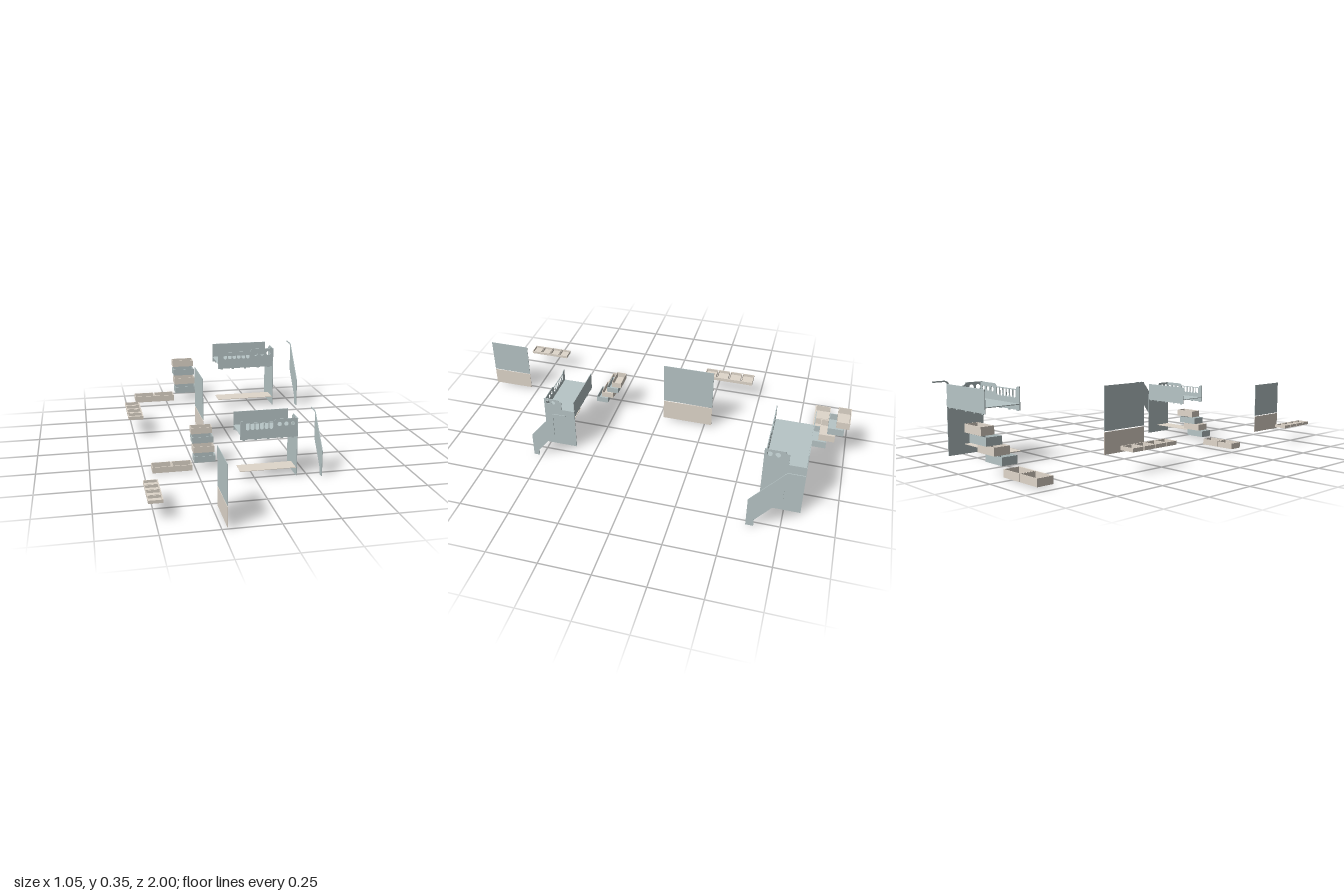
import * as THREE from 'three';

const T = 0.004; // board thickness
const blue = new THREE.MeshStandardMaterial({ color: 0xb7c5c6 });
const beige = new THREE.MeshStandardMaterial({ color: 0xe0d7cb });

// Box given by its minimum and maximum on each axis
function box(name, mat, [x0, x1], [y0, y1], [z0, z1]) {
  const mesh = new THREE.Mesh(new THREE.BoxGeometry(x1 - x0, y1 - y0, z1 - z0), mat);
  mesh.position.set((x0 + x1) / 2, (y0 + y1) / 2, (z0 + z1) / 2);
  mesh.name = name;
  return mesh;
}

// Flat board cut from a shape
function board(name, mat, shape) {
  const geo = new THREE.ExtrudeGeometry(shape, { depth: T, bevelEnabled: false, curveSegments: 10 });
  const mesh = new THREE.Mesh(geo, mat);
  mesh.name = name;
  return mesh;
}

// Board standing across the x axis; its shape is drawn in (-z, y)
function sideBoard(name, mat, shape, x) {
  const mesh = board(name, mat, shape);
  mesh.rotation.y = Math.PI / 2;
  mesh.position.x = x;
  return mesh;
}

function circleHole(x, y, r) {
  return new THREE.Path().absarc(x, y, r, 0, Math.PI * 2, true);
}

// Open-topped drawer: a floor and four walls
function tray(name, mat, [x0, x1], [y0, y1], [z0, z1]) {
  const g = new THREE.Group();
  g.name = name;
  const w = 0.003;
  g.add(
    box('floor', mat, [x0, x1], [y0, y0 + w], [z0, z1]),
    box('frontWall', mat, [x0, x1], [y0 + w, y1], [z1 - w, z1]),
    box('backWall', mat, [x0, x1], [y0 + w, y1], [z0, z0 + w]),
    box('leftWall', mat, [x1 - w, x1], [y0 + w, y1], [z0 + w, z1 - w]),
    box('rightWall', mat, [x0, x0 + w], [y0 + w, y1], [z0 + w, z1 - w]),
  );
  return g;
}

// Front guard: dipped rail with round-bottomed slots and three round holes
function frontGuard() {
  const s = new THREE.Shape();
  s.moveTo(0.045, 0.241);
  s.lineTo(0.382, 0.241);
  s.lineTo(0.382, 0.353);
  s.lineTo(0.256, 0.353);
  s.quadraticCurveTo(0.246, 0.352, 0.241, 0.339);
  s.lineTo(0.073, 0.339);
  s.quadraticCurveTo(0.068, 0.352, 0.058, 0.353);
  s.lineTo(0.045, 0.353);
  s.closePath();
  const r = 0.0113;
  for (let i = 0; i < 6; i++) {
    const x = 0.0885 + i * 0.0276;
    const slot = new THREE.Path();
    slot.moveTo(x - r, 0.335);
    slot.lineTo(x + r, 0.335);
    slot.lineTo(x + r, 0.297 + r);
    slot.absarc(x, 0.297 + r, r, 0, Math.PI, true);
    slot.closePath();
    s.holes.push(slot);
  }
  for (const x of [0.276, 0.315, 0.354]) s.holes.push(circleHole(x, 0.323, 0.0128));
  const mesh = board('frontGuard', blue, s);
  mesh.position.z = -0.641;
  return mesh;
}

// End board: full-height leg with a lower rear half and two holes
function endBoard() {
  const s = new THREE.Shape();
  s.moveTo(0.63, 0);
  s.lineTo(0.83, 0);
  s.lineTo(0.83, 0.281);
  s.lineTo(0.746, 0.281);
  s.lineTo(0.746, 0.333);
  s.quadraticCurveTo(0.744, 0.339, 0.735, 0.34);
  s.quadraticCurveTo(0.727, 0.342, 0.725, 0.353);
  s.lineTo(0.63, 0.353);
  s.closePath();
  s.holes.push(circleHole(0.655, 0.328, 0.013), circleHole(0.692, 0.328, 0.013));
  return sideBoard('endBoard', blue, s, 0.379);
}

// Sloping stair rail with a thin hooked top
function stairRail() {
  const s = new THREE.Shape();
  s.moveTo(0.591, 0);
  s.lineTo(0.628, 0);
  s.lineTo(0.628, 0.04);
  s.lineTo(0.746, 0.19);
  s.lineTo(0.746, 0.332);
  s.quadraticCurveTo(0.748, 0.346, 0.762, 0.347);
  s.lineTo(0.828, 0.347);
  s.lineTo(0.828, 0.354);
  s.lineTo(0.762, 0.354);
  s.quadraticCurveTo(0.75, 0.353, 0.742, 0.345);
  s.lineTo(0.591, 0.158);
  s.closePath();
  return sideBoard('stairRail', blue, s, 0.521);
}

function bedSet(name) {
  const g = new THREE.Group();
  g.name = name;

  // Raised bed, its deck set above the lower edge of the guards
  g.add(frontGuard(), endBoard(), stairRail());
  g.add(box('backGuard', blue, [0.045, 0.379], [0.241, 0.353], [-0.83, -0.826]));
  g.add(box('bedDeck', blue, [0.045, 0.379], [0.268, 0.272], [-0.826, -0.641]));
  for (const x of [0.066, 0.135, 0.21, 0.29, 0.355])
    for (const z of [-0.83, -0.641])
      g.add(box('guardTab', blue, [x - 0.007, x + 0.007], [0.236, 0.241], [z, z + T]));

  // Low shelf
  g.add(box('shelf', beige, [0.045, 0.379], [0.047, 0.05], [-0.74, -0.635]));

  // Wall board in two colours
  g.add(box('wallBoardLower', beige, [-0.153, -0.15], [0.01, 0.121], [-0.289, -0.023]));
  g.add(box('wallBoardUpper', blue, [-0.153, -0.15], [0.126, 0.347], [-0.289, -0.023]));

  // Stair of drawers, climbing toward the back
  for (let i = 0; i < 4; i++) {
    const y = 0.051 + i * 0.047;
    const z = -0.821 - i * 0.038;
    const depth = i === 3 ? 0.065 : 0.08;
    g.add(tray('stairDrawer', i % 2 ? beige : blue, [-0.192, -0.064], [y, y + 0.038], [z - depth, z]));
  }

  // Pair of floor drawers behind one shared front
  for (const x of [-0.442, -0.321])
    g.add(tray('floorDrawer', beige, [x, x + 0.117], [0.005, 0.041], [-0.902, -0.823]));
  g.add(box('floorDrawerFront', beige, [-0.442, -0.204], [0.005, 0.041], [-0.823, -0.82]));

  // Row of shallow trays behind one shared front
  for (let i = 0; i < 4; i++) {
    const z = -0.456 + i * 0.0695;
    g.add(tray('shallowTray', beige, [-0.528, -0.452], [0.099, 0.117], [z, z + 0.0645]));
  }
  g.add(box('shallowTrayFront', beige, [-0.452, -0.449], [0.099, 0.117], [-0.456, -0.183]));
  return g;
}

export function createModel() {
  const model = new THREE.Group();
  model.name = 'loftBedParts';
  const large = bedSet('largeSet');
  const small = bedSet('smallSet');
  small.scale.setScalar(0.8);
  small.position.set(-0.106, 0, 1.02);
  model.add(large, small);
  return model;
}
